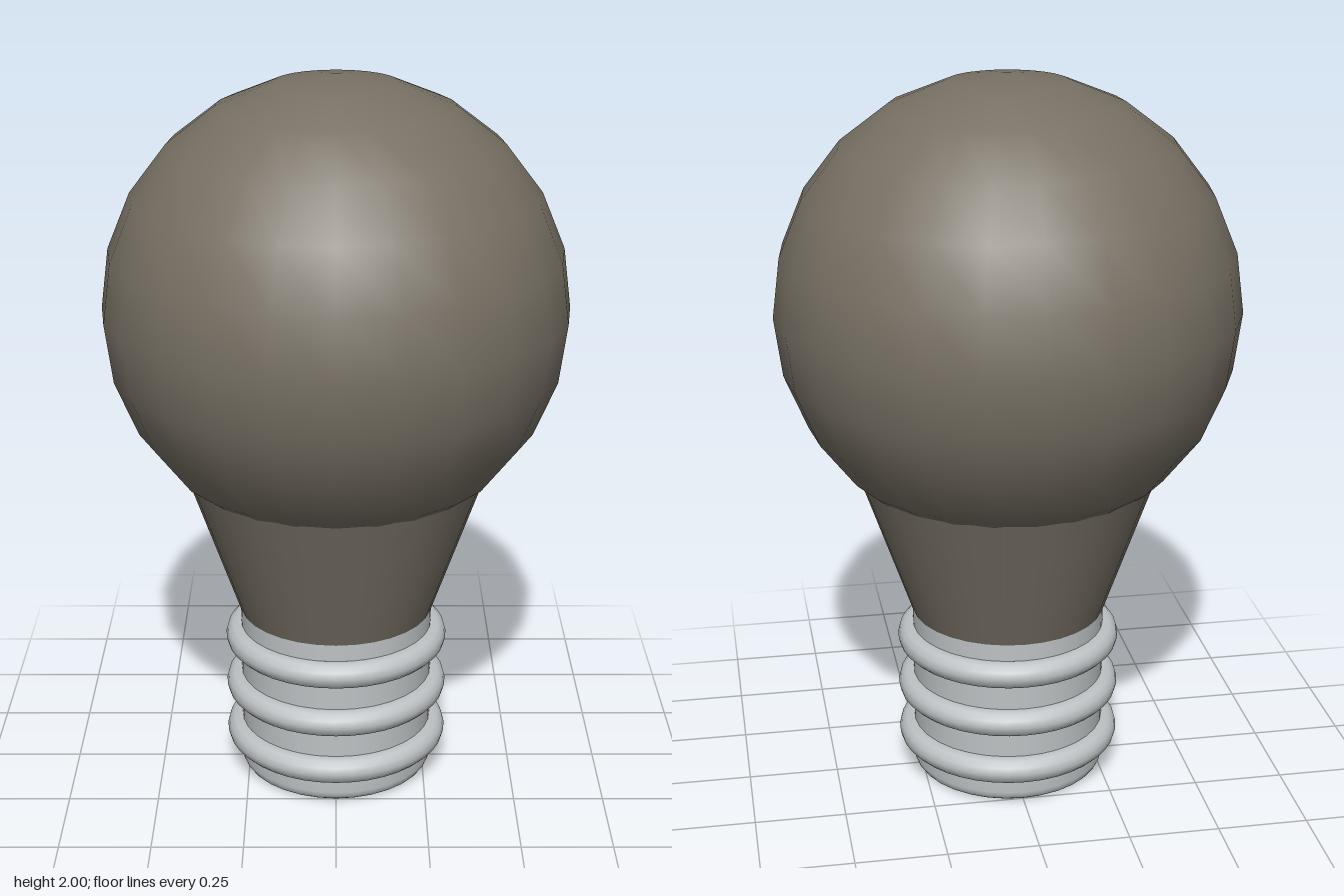
import * as THREE from 'three';

export function createModel() {
  const group = new THREE.Group();
  const glass = new THREE.MeshStandardMaterial({ color: 0x777064 });
  glass.name = 'smoky glass';
  const metal = new THREE.MeshStandardMaterial({ color: 0xbec2c4 });
  metal.name = 'brushed metal';

  const add = (name, geometry, material, y) => {
    const mesh = new THREE.Mesh(geometry, material);
    mesh.name = name;
    mesh.position.y = y;
    group.add(mesh);
    return mesh;
  };

  // Round bulb and the tapered neck that runs up into it
  add('bulb', new THREE.SphereGeometry(0.63, 24, 12), glass, 1.37);
  add('neck', new THREE.CylinderGeometry(0.43, 0.27, 0.46, 32, 1, true), glass, 0.72);

  // Screw base: straight sleeve, closed at the top
  add('sleeve', new THREE.CylinderGeometry(0.27, 0.27, 0.44, 32), metal, 0.27);

  // Rounded foot with a flat underside
  const profile = [new THREE.Vector2(0, 0), new THREE.Vector2(0.235, 0)];
  for (let i = 0; i <= 4; i++) {
    const a = (i / 4) * Math.PI / 2;
    profile.push(new THREE.Vector2(0.24 + 0.032 * Math.sin(a), 0.032 * (1 - Math.cos(a))));
  }
  profile.push(new THREE.Vector2(0.272, 0.07));
  add('foot', new THREE.LatheGeometry(profile, 32), metal, 0.005);

  // Three thread rings
  for (const y of [0.11, 0.257, 0.405]) {
    add('threadRing', new THREE.TorusGeometry(0.275, 0.038, 12, 40), metal, y).rotation.x = Math.PI / 2;
  }

  // Stand the foot exactly on the ground
  group.getObjectByName('foot').position.y = 0;
  return group;
}
